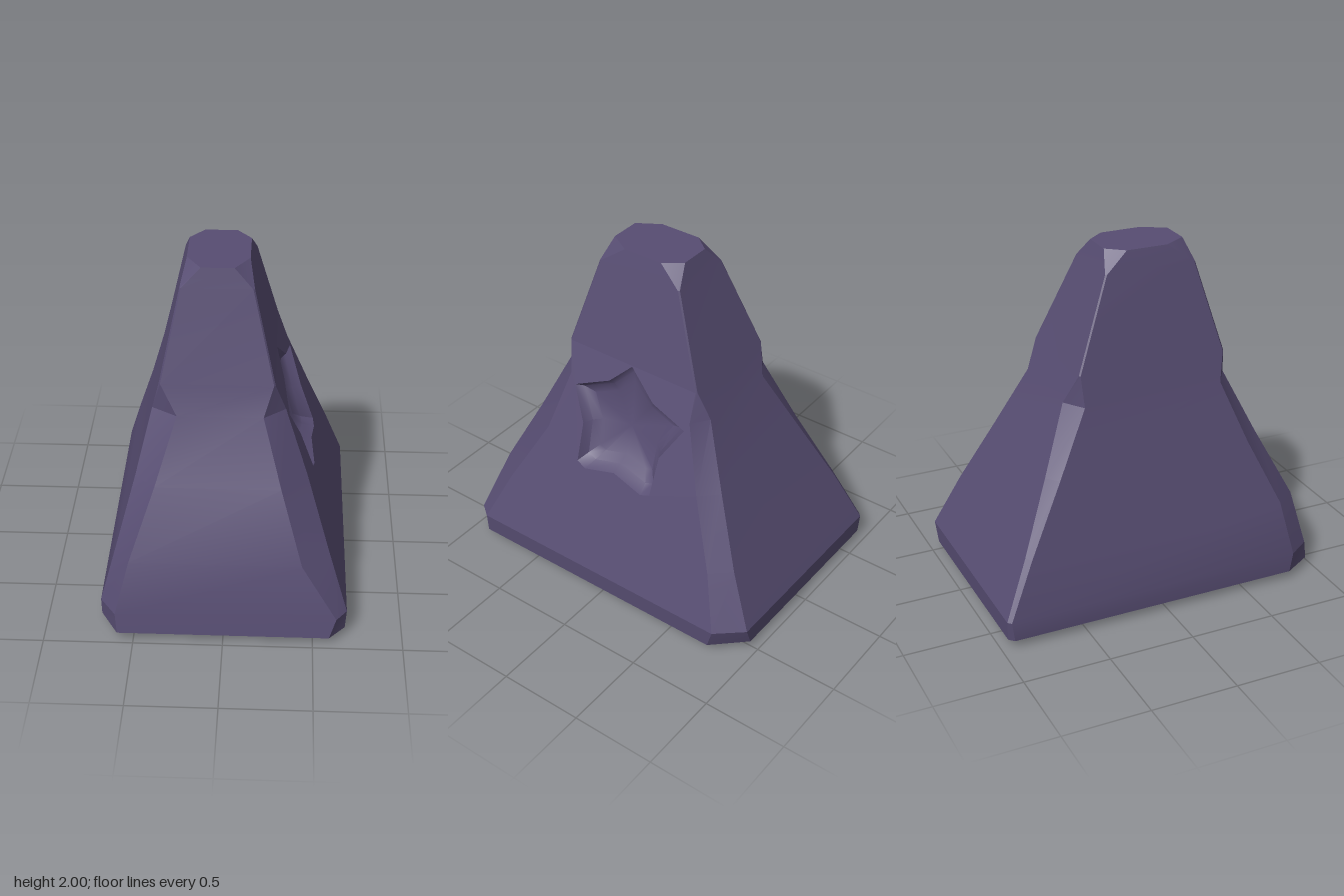
import * as THREE from 'three';
import { toCreasedNormals } from 'three/addons/utils/BufferGeometryUtils.js';

const stone = new THREE.MeshStandardMaterial({ color: 0x574d72 });
stone.name = 'dusky purple stone';

// The carved side is one plane between these two heights
const FACE_LOW = 0.16, FACE_HIGH = 1.38;
const sideX = (y) => 0.688 - 0.345 * (y - FACE_LOW);

// Cross-sections: height, x range, z range, then corner cuts [x, z]
// in the order front -x, front +x, back +x, back -x
const T = [0.008, 0.008];
const sections = [
  [0, -0.6, 0.6, -0.82, 0.8, [0.1, 0.14], [0.1, 0.1], [0.16, 0.16], [0.04, 0.04]],
  [0.045, -0.69, 0.68, -0.955, 0.97, [0.1, 0.17], [0.09, 0.1], [0.17, 0.18], [0.03, 0.03]],
  [FACE_LOW, -0.69, sideX(FACE_LOW), -0.96, 0.95, [0.09, 0.13], [0.06, 0.08], [0.13, 0.15], [0.02, 0.02]],
  [0.47, -0.605, sideX(0.47), -0.81, 0.885, [0.085, 0.12], [0.15, 0.15], [0.1, 0.11], [0.03, 0.03]],
  [0.85, -0.497, sideX(0.85), -0.625, 0.705, [0.115, 0.11], [0.14, 0.17], [0.1, 0.1], [0.07, 0.06]],
  [1.21, -0.405, sideX(1.21), -0.455, 0.545, [0.14, 0.09], [0.12, 0.1], [0.1, 0.07], [0.12, 0.08]],
  [FACE_HIGH, -0.363, sideX(FACE_HIGH), -0.388, 0.495, T, T, T, T],
  [1.89, -0.252, 0.148, -0.18, 0.362, T, T, T, T],
  [2, -0.22, 0.12, -0.14, 0.335, [0.08, 0.13], [0.08, 0.13], [0.08, 0.1], [0.08, 0.1]],
];

const rings = sections.map(([y, x0, x1, z0, z1, fl, fr, br, bl]) => [
  [x0 + fl[0], y, z1], [x1 - fr[0], y, z1],
  [x1, y, z1 - fr[1]], [x1, y, z0 + br[1]],
  [x1 - br[0], y, z0], [x0 + bl[0], y, z0],
  [x0, y, z0 + bl[1]], [x0, y, z1 - fl[1]],
]);

function meshFrom(name, triangles, crease) {
  const g = new THREE.BufferGeometry();
  g.setAttribute('position', new THREE.Float32BufferAttribute(triangles.flat(2), 3));
  const mesh = new THREE.Mesh(toCreasedNormals(g, crease), stone);
  mesh.name = name;
  return mesh;
}

// Faceted shell with its caps, left open where the carved face goes
function buildBody() {
  const tris = [];
  for (let r = 0; r < rings.length - 1; r++) {
    const lo = rings[r], hi = rings[r + 1];
    const carved = lo[0][1] >= FACE_LOW && hi[0][1] <= FACE_HIGH;
    for (let i = 0; i < 8; i++) {
      if (carved && i === 2) continue;
      const j = (i + 1) % 8;
      tris.push([lo[i], lo[j], hi[j]], [lo[i], hi[j], hi[i]]);
    }
  }
  const bottom = rings[0], top = rings[rings.length - 1];
  for (let i = 1; i < 7; i++) {
    tris.push([top[0], top[i], top[i + 1]], [bottom[0], bottom[i + 1], bottom[i]]);
  }
  return meshFrom('stoneBody', tris, 0.3);
}

// Star outline as [z, y], clockwise from the upper tip when seen from -x
const star = [
  [0.05, 1.375], [0.18, 1.25], [0.405, 1.15], [0.3, 0.96], [0.29, 0.74],
  [0.23, 0.715], [0.03, 0.765], [-0.17, 0.715], [-0.23, 0.735],
  [-0.24, 0.96], [-0.36, 1.16], [-0.13, 1.23],
];

// Flat sloping face with the star cut through it
function buildCarvedFace() {
  const face = rings.filter((r) => r[0][1] >= FACE_LOW && r[0][1] <= FACE_HIGH);
  const outline = [
    ...face.map((r) => r[3]),
    ...face.slice().reverse().map((r) => r[2]),
  ].map((p) => new THREE.Vector2(-p[2], p[1]));
  const shape = new THREE.Shape(outline);
  shape.holes.push(new THREE.Path(star.map(([z, y]) => new THREE.Vector2(-z, y))));
  const g = new THREE.ShapeGeometry(shape);
  const p = g.attributes.position;
  for (let i = 0; i < p.count; i++) {
    const u = p.getX(i), y = p.getY(i);
    p.setXYZ(i, sideX(y), y, -u);
  }
  g.computeVertexNormals();
  const mesh = new THREE.Mesh(g, stone);
  mesh.name = 'carvedFace';
  return mesh;
}

// Sloped walls and hollow floor, deeper towards the bottom of the star
function buildStarHollow() {
  const cz = 0.03, cy = 1.0;
  const loop = (scale, depth) => star.map(([z, y]) => {
    const yy = cy + (y - cy) * scale;
    const d = depth * (1 - 0.9 * (yy - 0.75));
    return [sideX(yy) - d, yy, cz + (z - cz) * scale];
  });
  const loops = [loop(1, 0), loop(0.9, 0.065), loop(0.72, 0.105)];
  const centre = [sideX(cy) - 0.095, cy, cz];
  const tris = [];
  const n = star.length;
  for (let i = 0; i < n; i++) {
    const j = (i + 1) % n;
    for (let k = 0; k < 2; k++) {
      const a = loops[k], b = loops[k + 1];
      tris.push([a[i], a[j], b[j]], [a[i], b[j], b[i]]);
    }
    tris.push([loops[2][i], loops[2][j], centre]);
  }
  // Wind every triangle so that it faces out of the hollow
  const area = star.reduce((s, [z, y], i) => {
    const [z2, y2] = star[(i + 1) % n];
    return s + (-z * y2 + z2 * y);
  }, 0);
  if (area < 0) tris.forEach((t) => t.reverse());
  return meshFrom('starHollow', tris, 0.6);
}

export function createModel() {
  const model = new THREE.Group();
  model.name = 'carvedStone';
  model.add(buildBody(), buildCarvedFace(), buildStarHollow());
  return model;
}
